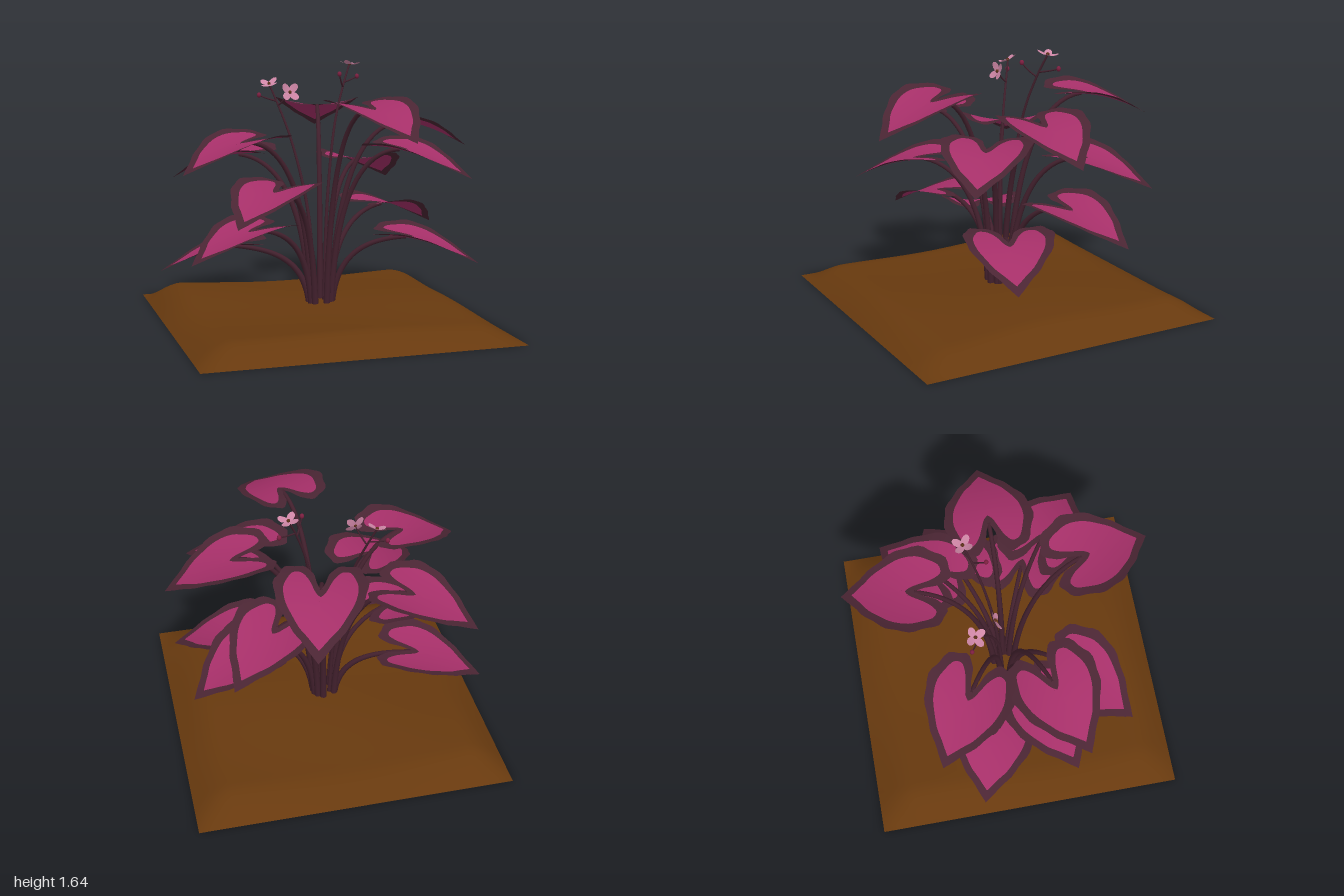
import * as THREE from 'three';

const mat = (name, color, side = THREE.FrontSide) => {
  const m = new THREE.MeshStandardMaterial({ color, side });
  m.name = name;
  return m;
};
const V = (x, y, z) => new THREE.Vector3(x, y, z);

// Half outlines of the heart leaf, [along axis, half width], from notch to tip
const OUTER = [[0, 0], [-0.06, 0.025], [-0.15, 0.05], [-0.21, 0.11], [-0.18, 0.2], [-0.07, 0.26],
  [0.06, 0.27], [0.18, 0.225], [0.29, 0.15], [0.38, 0.07], [0.46, 0]];
const INNER = [[0.055, 0], [0.02, 0.03], [-0.09, 0.075], [-0.145, 0.12], [-0.135, 0.165], [-0.05, 0.205],
  [0.06, 0.215], [0.16, 0.18], [0.26, 0.12], [0.33, 0.055], [0.39, 0]];

// Tip position of each leaf
const TIPS = [
  [0.25, 1.16, -0.97], [0.29, 1.22, 0.94], [0.99, 1.09, 0],
  [-0.85, 0.88, -0.53], [-0.95, 1.01, 0.36], [-0.70, 0.73, 0.69],
  [-0.98, 0.31, -0.30], [-0.90, 0.46, 0.32], [0.79, 0.95, 0.58],
  [0.69, 0.81, -0.70], [0.90, 0.53, -0.39], [0.93, 0.38, 0.38]
];

// Closed loop made of a smoothed half outline and its mirror image
function loop(half, n, wave) {
  const curve = new THREE.SplineCurve(half.map(p => new THREE.Vector2(...p)));
  const pts = [];
  for (let i = 0; i <= n; i++) {
    const p = curve.getPoint(i / n);
    const k = 1 + wave * Math.sin(i * 1.35) * Math.sin(Math.PI * i / n);
    pts.push([0.1 + (p.x - 0.1) * k, i === 0 || i === n ? 0 : p.y * k]);
  }
  for (let i = n - 1; i > 0; i--) pts.push([pts[i][0], -pts[i][1]]);
  return pts;
}

// Drooping, slightly cupped blade with a border; group 0 is the blade, group 1 the rim
function leafGeometry() {
  const n = 36, outer = loop(OUTER, n, 0.025), inner = loop(INNER, n, 0.008);
  const count = outer.length, pos = [], index = [];
  const bladeRings = 6, rimRings = 2;
  const mix = (a, b, t) => [a[0] + (b[0] - a[0]) * t, a[1] + (b[1] - a[1]) * t];
  for (let r = 0; r <= bladeRings + rimRings; r++) {
    for (let i = 0; i < count; i++) {
      const [s, w] = r <= bladeRings
        ? mix([0.1, 0], inner[i], Math.max(r / bladeRings, 0.002))
        : mix(inner[i], outer[i], (r - bladeRings) / rimRings);
      pos.push(s, -0.15 * s - 0.5 * s * s + 0.65 * w * w, w);
    }
  }
  for (let r = 0; r < bladeRings + rimRings; r++) {
    for (let i = 0; i < count; i++) {
      const a = r * count + i, b = r * count + (i + 1) % count;
      index.push(a, a + count, b, b, a + count, b + count);
    }
  }
  const g = new THREE.BufferGeometry();
  g.setAttribute('position', new THREE.Float32BufferAttribute(pos, 3));
  g.setIndex(index);
  g.computeVertexNormals();
  const split = bladeRings * count * 6;
  g.addGroup(0, split, 0);
  g.addGroup(split, rimRings * count * 6, 1);
  return g;
}

// Tube narrowing from r0 to r1 along a curve
function taperedTube(curve, r0, r1, steps = 28, sides = 8) {
  const g = new THREE.TubeGeometry(curve, steps, 1, sides);
  const p = g.attributes.position, v = V(0, 0, 0);
  for (let i = 0; i < p.count; i++) {
    const t = Math.floor(i / (sides + 1)) / steps;
    const c = curve.getPointAt(t);
    v.fromBufferAttribute(p, i).sub(c).multiplyScalar(r0 + (r1 - r0) * t).add(c);
    p.setXYZ(i, v.x, v.y, v.z);
  }
  return g;
}

// Soil slab with an uneven top, rounded edges and a flat underside
function soilGeometry() {
  const g = new THREE.PlaneGeometry(1.98, 1.98, 60, 60).rotateX(-Math.PI / 2);
  const p = g.attributes.position;
  const edge = a => Math.sin(Math.PI / 2 * Math.min(1, (0.99 - Math.abs(a)) / 0.25));
  for (let i = 0; i < p.count; i++) {
    const x = p.getX(i), z = p.getZ(i);
    const bump = 0.108 + 0.014 * Math.sin(3.2 * x + 1.5 * z) + 0.012 * Math.sin(4.5 * z - 2 * x + 2.5);
    p.setY(i, bump * Math.max(0, edge(x) * edge(z)));
  }
  g.computeVertexNormals();
  return g;
}

export function createModel() {
  const root = new THREE.Group();
  const soilMat = mat('soil brown', 0x67390e);
  const bladeMat = mat('leaf magenta', 0xa52f68, THREE.DoubleSide);
  const rimMat = mat('leaf rim plum', 0x4a2533, THREE.DoubleSide);
  const stemMat = mat('stem dark plum', 0x42202d);
  const petalMat = mat('petal pink', 0xcf86a6, THREE.DoubleSide);
  const budMat = mat('bud crimson', 0x7c1f40);
  const centreMat = mat('flower centre brown', 0x5c3018);

  const add = (parent, name, geometry, material) => {
    const m = new THREE.Mesh(geometry, material);
    m.name = name;
    parent.add(m);
    return m;
  };

  // Ground
  add(root, 'soil', soilGeometry(), soilMat);
  add(root, 'soilUnderside', new THREE.PlaneGeometry(1.98, 1.98).rotateX(Math.PI / 2), soilMat);

  // Leaves with arching stalks
  const leafGeo = leafGeometry();
  for (const [x, y, z] of TIPS) {
    const dir = V(x, 0, z).normalize();
    const reach = Math.hypot(x, z) - 0.46;
    const joint = dir.clone().multiplyScalar(reach).setY(y + 0.172);
    const leaf = add(root, 'leaf', leafGeo, [bladeMat, rimMat]);
    leaf.position.copy(joint);
    leaf.rotation.y = Math.atan2(-z, x);

    const base = dir.clone().multiplyScalar(0.07).setY(0.08);
    const rise = dir.clone().multiplyScalar(0.1).setY(0.08 + joint.y * 0.62);
    const arch = dir.clone().multiplyScalar(reach * 0.5).setY(joint.y - 0.03);
    const end = joint.clone().setY(joint.y - 0.008);
    add(root, 'leafStalk', taperedTube(new THREE.CubicBezierCurve3(base, rise, arch, end), 0.022, 0.013), stemMat);
  }

  // Four-petalled flower facing a given direction
  const petalGeo = new THREE.CircleGeometry(1, 14).scale(0.031, 0.024, 1).translate(0.036, 0, 0);
  const pp = petalGeo.attributes.position;
  for (let i = 0; i < pp.count; i++) pp.setZ(i, 4 * pp.getX(i) ** 2);
  petalGeo.computeVertexNormals();
  const flower = (at, facing) => {
    const f = new THREE.Group();
    f.name = 'flower';
    for (let i = 0; i < 4; i++) {
      add(f, 'petal', petalGeo, petalMat).rotation.z = Math.PI / 4 + i * Math.PI / 2;
    }
    add(f, 'flowerCentre', new THREE.SphereGeometry(0.011, 10, 8), centreMat).position.z = 0.004;
    f.position.copy(at);
    f.quaternion.setFromUnitVectors(V(0, 0, 1), facing.normalize());
    root.add(f);
  };

  // Flower stalk with side twigs ending in flowers or buds
  const flowerStalk = (points, blooms, buds) => {
    const curve = new THREE.CatmullRomCurve3(points);
    add(root, 'flowerStalk', taperedTube(curve, 0.014, 0.006), stemMat);
    const twig = (at, t) => {
      const from = curve.getPointAt(t);
      const mid = from.clone().lerp(at, 0.6).setY(from.y + (at.y - from.y) * 0.4);
      add(root, 'twig', taperedTube(new THREE.QuadraticBezierCurve3(from, mid, at), 0.006, 0.004, 8, 6), stemMat);
    };
    for (const [at, facing, t] of blooms) {
      if (t < 1) twig(at, t);
      flower(at, facing);
    }
    for (const [at, t] of buds) {
      twig(at, t);
      const bud = add(root, 'bud', new THREE.SphereGeometry(0.014, 10, 8), budMat);
      bud.position.copy(at);
      bud.scale.y = 1.2;
    }
  };
  flowerStalk(
    [V(-0.03, 0.08, -0.02), V(-0.07, 0.7, -0.05), V(-0.16, 1.15, -0.12), V(-0.24, 1.4, -0.19), V(-0.275, 1.495, -0.22)],
    [[V(-0.275, 1.495, -0.22), V(-0.25, 0.9, 0.3), 1], [V(-0.175, 1.45, -0.09), V(0.1, 0.3, 0.95), 0.9]],
    [[V(-0.335, 1.425, -0.25), 0.92]]);
  flowerStalk(
    [V(0.03, 0.08, -0.02), V(0.06, 0.75, -0.05), V(0.13, 1.25, -0.11), V(0.2, 1.48, -0.16), V(0.255, 1.615, -0.2)],
    [[V(0.255, 1.615, -0.2), V(0.15, 0.97, -0.1), 1]],
    [[V(0.15, 1.56, -0.08), 0.9], [V(0.32, 1.535, -0.24), 0.92]]);

  return root;
}
